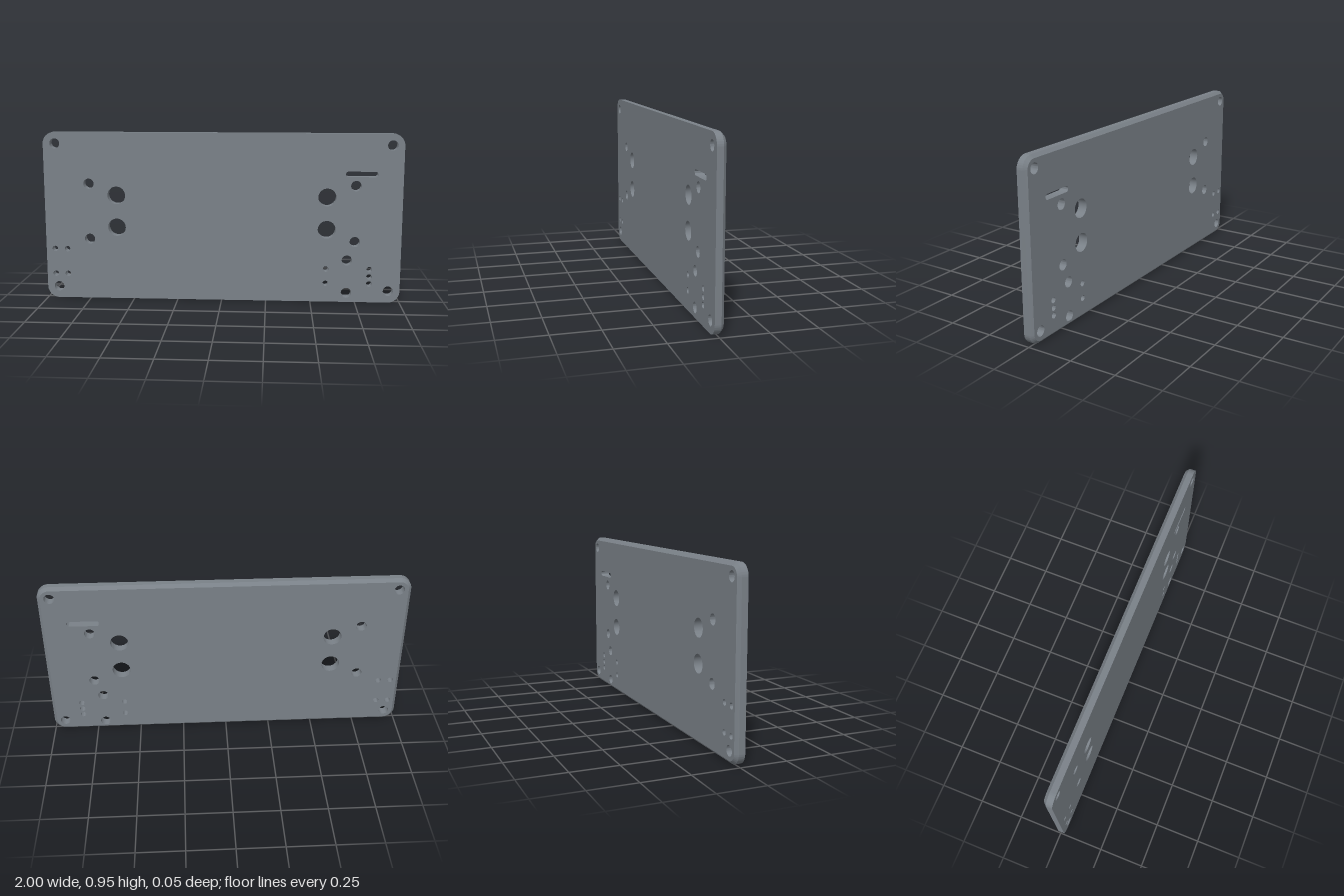
import * as THREE from 'three';
import { toCreasedNormals } from 'three/addons/utils/BufferGeometryUtils.js';

const W = 2, H = 0.95, T = 0.05, R = 0.066, CHAMFER = T / 3;
const CX = W / 2 - R; // corner arc centres
const Y0 = R, Y1 = H - R;

function circle(x, y, r) {
  return new THREE.Path().absarc(x, y, r, 0, Math.PI * 2, true);
}

function slot(x0, x1, y, r) {
  const p = new THREE.Path();
  p.absarc(x0 + r, y, r, Math.PI / 2, Math.PI * 1.5, false);
  p.absarc(x1 - r, y, r, -Math.PI / 2, Math.PI / 2, false);
  p.closePath();
  return p;
}

export function createModel() {
  const group = new THREE.Group();
  group.name = 'mountingPanel';

  // Rounded rectangle outline
  const shape = new THREE.Shape();
  [[CX, Y0, -0.5], [CX, Y1, 0], [-CX, Y1, 0.5], [-CX, Y0, 1]].forEach(([x, y, a]) =>
    shape.absarc(x, y, R, a * Math.PI, (a + 0.5) * Math.PI, false));
  shape.closePath();

  // Holes grouped by radius
  const holes = [
    [0.028, [[-0.934, 0.886], [0.935, 0.886], [-0.934, 0.066], [0.935, 0.066]]], // corner screws
    [0.029, [[-0.748, 0.661], [-0.748, 0.346], [0.743, 0.661], [0.743, 0.346], [0.702, 0.24], [0.702, 0.053]]],
    [0.05, [[-0.592, 0.596], [-0.592, 0.414], [0.586, 0.596], [0.586, 0.414]]], // large ports
    [0.016, [[-0.95, 0.286], [-0.88, 0.286], [-0.95, 0.141], [-0.88, 0.141],
      [0.585, 0.189], [0.585, 0.106], [0.828, 0.189], [0.828, 0.147], [0.828, 0.106]]], // pin holes
  ];
  for (const [r, centres] of holes)
    for (const [x, y] of centres) shape.holes.push(circle(x, y, r));
  shape.holes.push(slot(0.684, 0.861, 0.726, 0.015));

  let geo = new THREE.ExtrudeGeometry(shape, {
    depth: T, steps: 3, bevelEnabled: false, curveSegments: 16,
  });

  // Chamfer the back rim: pull the outline's rear ring inward
  const pos = geo.attributes.position;
  for (let i = 0; i < pos.count; i++) {
    if (pos.getZ(i) > 1e-5) continue;
    const x = pos.getX(i), y = pos.getY(i);
    const kx = THREE.MathUtils.clamp(x, -CX, CX), ky = THREE.MathUtils.clamp(y, Y0, Y1);
    if (Math.abs(Math.hypot(x - kx, y - ky) - R) > 1e-4) continue;
    const s = (R - CHAMFER) / R;
    pos.setXY(i, kx + (x - kx) * s, ky + (y - ky) * s);
  }
  geo.translate(0, 0, -T / 2);
  geo = toCreasedNormals(geo, 0.5);

  const panel = new THREE.Mesh(geo, new THREE.MeshStandardMaterial({ color: 0x7a8188 }));
  panel.name = 'panel';
  group.add(panel);
  return group;
}
